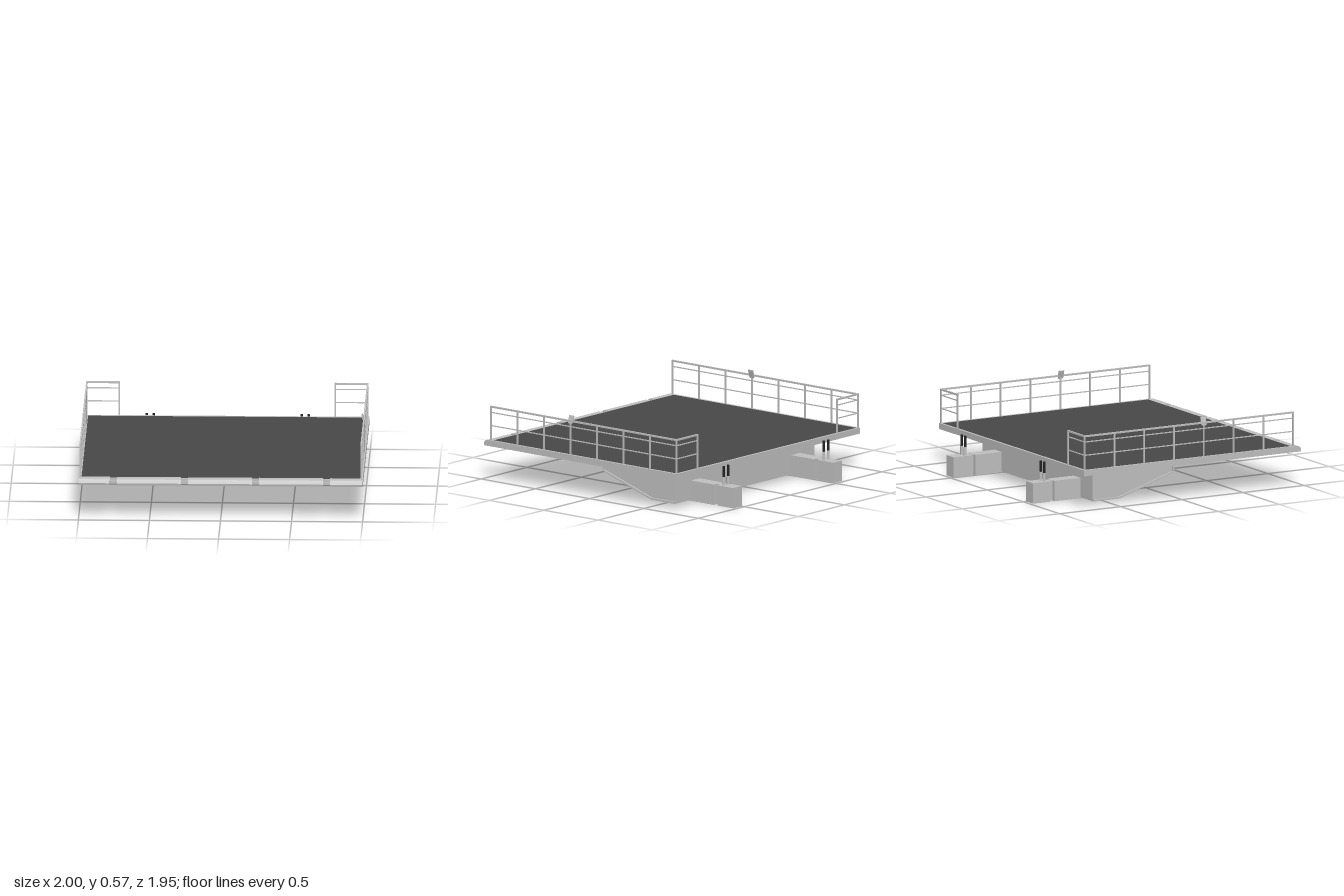
import * as THREE from 'three';

const material = (name, color) => {
  const m = new THREE.MeshStandardMaterial({ color });
  m.name = name;
  return m;
};

export function createModel() {
  const grey = material('lightGrey', 0xc0c0c0);
  const dark = material('darkDeck', 0x484848);
  const black = material('black', 0x202020);
  const root = new THREE.Group();
  root.name = 'liftPlatform';

  const group = (name, parent = root) => {
    const g = new THREE.Group();
    g.name = name;
    parent.add(g);
    return g;
  };
  const add = (name, geometry, mat, parent = root) => {
    const m = new THREE.Mesh(geometry, mat);
    m.name = name;
    parent.add(m);
    return m;
  };
  // Box given by its lower and upper limits on each axis
  const box = (name, [x0, x1], [y0, y1], [z0, z1], mat, parent) => {
    const m = add(name, new THREE.BoxGeometry(x1 - x0, y1 - y0, z1 - z0), mat, parent);
    m.position.set((x0 + x1) / 2, (y0 + y1) / 2, (z0 + z1) / 2);
    return m;
  };
  // Outline of [z, y] points extruded between two x values
  const profile = (name, points, x0, x1, mat, parent) => {
    const shape = new THREE.Shape(points.map(([z, y]) => new THREE.Vector2(z, y)));
    const g = new THREE.ExtrudeGeometry(shape, { depth: x1 - x0, bevelEnabled: false });
    g.rotateY(-Math.PI / 2);
    g.translate(x1, 0, 0);
    return add(name, g, mat, parent);
  };

  // Deck slab with its dark walking surface
  const deck = group('deck');
  box('deckSlab', [-1, 1], [0.247, 0.285], [-0.8, 0.92], grey, deck);
  box('walkingSurface', [-0.98, 0.98], [0.285, 0.289], [-0.78, 0.9], dark, deck);
  for (const s of [-1, 1]) {
    box('sideCurb', s > 0 ? [0.982, 1] : [-1, -0.982], [0.285, 0.29], [-0.8, 0.92], grey, deck);
  }
  box('rearCurb', [-1, 1], [0.285, 0.29], [-0.8, -0.782], grey, deck);

  // Rounded front lip, interrupted by hinge notches
  const lip = group('frontLip');
  const lipProfile = [[0.9, 0.247], [0.972, 0.247], [0.975, 0.262], [0.97, 0.276],
    [0.958, 0.286], [0.942, 0.29], [0.9, 0.29]];
  const notches = [-0.755, -0.255, 0.245, 0.745];
  const edges = [-1, ...notches.flatMap((x) => [x - 0.025, x + 0.025]), 1];
  for (let i = 0; i < edges.length; i += 2) {
    profile('lipSegment', lipProfile, edges[i], edges[i + 1], grey, lip);
  }
  for (const x of notches) {
    box('hingeBar', [x - 0.025, x + 0.025], [0.257, 0.275], [0.943, 0.958], grey, lip);
  }

  // Tapered support beam under the deck, with raised rims on both ends
  const beam = group('supportBeam');
  const outline = [[-0.587, 0.247], [-0.587, 0.006], [-0.37, 0.006], [0.077, 0.15], [0.077, 0.247]];
  profile('beamCore', outline, -0.757, 0.757, grey, beam);
  const rim = [...outline, [-0.587, 0.247], [-0.587, 0.234], [0.064, 0.234], [0.064, 0.159],
    [-0.372, 0.019], [-0.587, 0.019]];
  const rimOutline = [[-0.587, 0.006], ...rim.slice(2, 5), ...rim.slice(5)];
  profile('leftRim', rimOutline, 0.757, 0.77, grey, beam);
  profile('rightRim', rimOutline, -0.77, -0.757, grey, beam);

  // Rear arms with narrow necks, end blocks and paired pins
  for (const s of [-1, 1]) {
    const arm = group(s > 0 ? 'leftArm' : 'rightArm');
    arm.position.x = s * 0.545;
    box('armBeam', [-0.048, 0.048], [0.004, 0.146], [-0.8, -0.58], grey, arm);
    box('armBasePlate', [-0.05, 0.05], [0, 0.006], [-0.8, -0.37], grey, arm);
    box('armNeck', [-0.022, 0.022], [0.004, 0.146], [-0.84, -0.79], grey, arm);
    box('armEndBlock', [-0.048, 0.048], [0, 0.146], [-0.978, -0.832], grey, arm);
    for (const x of [-0.024, 0.024]) {
      const sleeve = add('pinSleeve', new THREE.CylinderGeometry(0.01, 0.01, 0.065, 16), grey, arm);
      sleeve.position.set(x, 0.175, -0.87);
      const pin = add('pin', new THREE.CylinderGeometry(0.0085, 0.0085, 0.08, 16), black, arm);
      pin.position.set(x, 0.246, -0.87);
    }
  }

  // Guard rails along both sides, returning along the rear corners
  for (const s of [-1, 1]) {
    const rail = group(s > 0 ? 'leftGuardRail' : 'rightGuardRail');
    const post = (x, z) =>
      box('railPost', [x - 0.005, x + 0.005], [0.28, 0.535], [z - 0.005, z + 0.005], grey, rail);
    for (let i = 0; i < 8; i++) post(s * 0.988, 0.917 - i * 0.2437);
    post(s * 0.76, -0.789);
    for (const [y, r] of [[0.531, 0.006], [0.49, 0.0035], [0.395, 0.0035]]) {
      const x = s * 0.988;
      box('sideRail', [x - r, x + r], [y - r, y + r], [-0.794, 0.922], grey, rail);
      const xs = [s * 0.755, s * 0.993].sort((a, b) => a - b);
      box('rearRail', xs, [y - r, y + r], [-0.789 - r, -0.789 + r], grey, rail);
    }

    // Small tilted control box clipped to the top rail
    const control = group('controlBox', rail);
    control.position.set(s * 0.982, 0.539, 0.187);
    control.rotation.z = s * 0.26;
    const plate = new THREE.Shape([[-0.021, -0.02], [-0.014, -0.03], [0.014, -0.03],
      [0.021, -0.02], [0.021, 0.031], [-0.021, 0.031]].map(([a, b]) => new THREE.Vector2(a, b)));
    const g = new THREE.ExtrudeGeometry(plate, { depth: 0.009, bevelEnabled: false });
    g.translate(0, 0, -0.0045);
    g.rotateY(-Math.PI / 2);
    add('controlPlate', g, grey, control);
  }

  return root;
}
